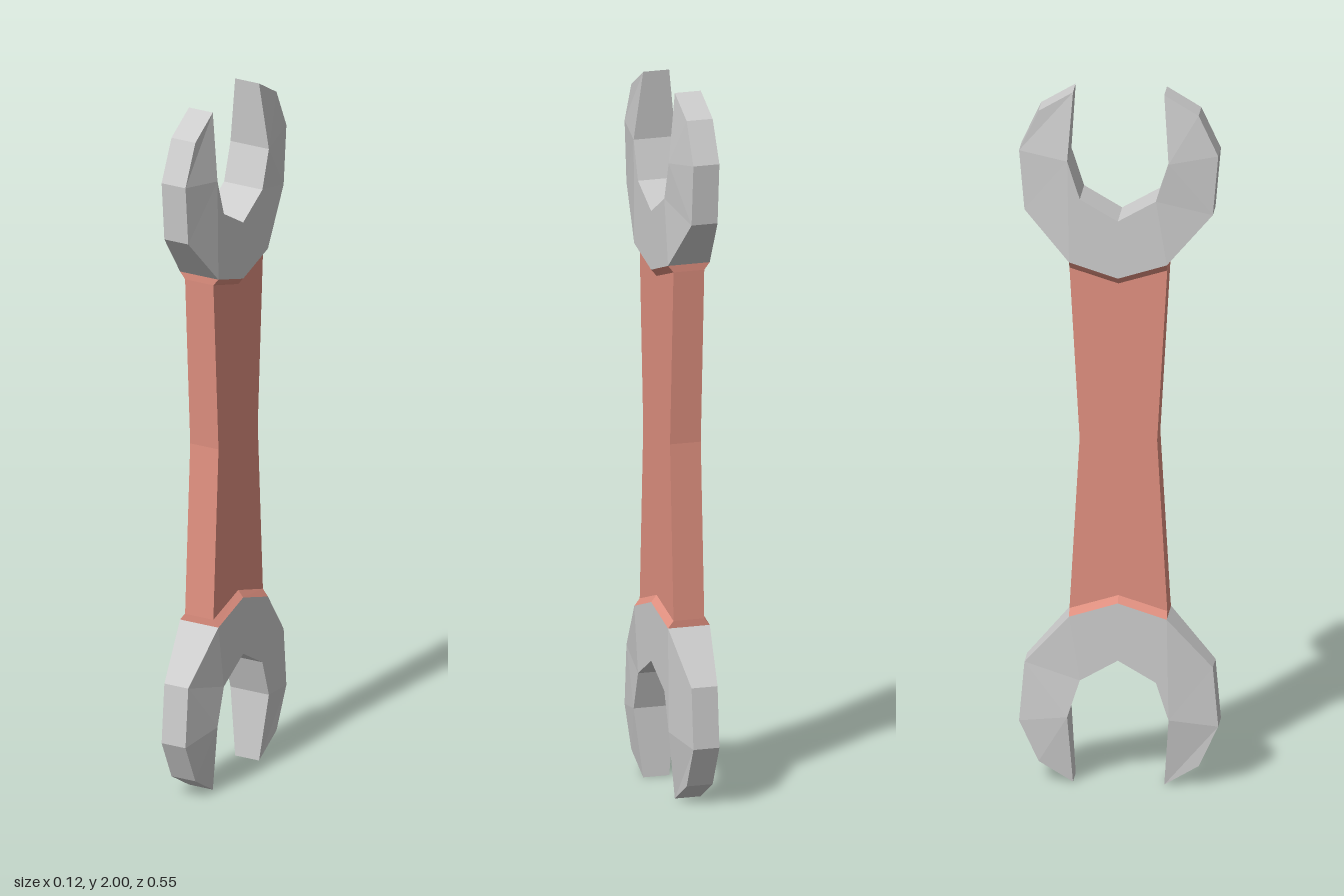
import * as THREE from 'three';

const steel = new THREE.MeshStandardMaterial({ color: 0xcccccc, flatShading: true });
const red = new THREE.MeshStandardMaterial({ color: 0xe09080, flatShading: true });

// Skin a row of equal-sized point rings; optionally close both ends.
function loft(rings, capped) {
  const n = rings[0].length;
  const index = [];
  for (let i = 0; i < rings.length - 1; i++) {
    for (let j = 0; j < n; j++) {
      const a = i * n + j, b = i * n + (j + 1) % n;
      index.push(a, b, b + n, a, b + n, a + n);
    }
  }
  if (capped) {
    const e = (rings.length - 1) * n;
    for (let j = 1; j < n - 1; j++) index.push(0, j + 1, j, e, e + j, e + j + 1);
  }
  const geo = new THREE.BufferGeometry();
  geo.setAttribute('position', new THREE.Float32BufferAttribute(rings.flat(2), 3));
  geo.setIndex(index);
  geo.computeVertexNormals();
  return geo;
}

// Open jaw: half of it as [outer z, outer y, outer half thickness, inner z, inner y, inner half thickness],
// with y measured from the middle of the tool.
const THIN = 0.038, THICK = 0.061;
const half = [
  [0, 0.471, THICK, 0, 0.637, THICK],
  [0.135, 0.514, THICK, 0.105, 0.698, THICK],
  [0.26, 0.656, THIN, 0.14, 0.806, THICK],
  [0.275, 0.827, THIN, 0.14, 0.806, THICK],
  [0.221, 0.943, THIN, 0.126, 1, THIN],
];

function jawGeometry() {
  const ring = ([oz, oy, oh, iz, iy, ih], s) =>
    [[oh, oy, s * oz], [ih, iy, s * iz], [-ih, iy, s * iz], [-oh, oy, s * oz]];
  const rings = [
    ...half.slice(1).reverse().map((p) => ring(p, -1)),
    ...half.map((p) => ring(p, 1)),
  ];
  return loft(rings, true);
}

// Grip: waisted bar with V-shaped ends that flare out to meet the jaws.
function gripGeometry() {
  const ring = (side, centre, h, w) => [
    [h, side, w], [h, centre, 0], [h, side, -w],
    [-h, side, -w], [-h, centre, 0], [-h, side, w],
  ];
  return loft([
    ring(-0.514, -0.471, THICK, 0.135),
    ring(-0.494, -0.452, 0.045, 0.135),
    ring(0, 0, 0.045, 0.107),
    ring(0.494, 0.452, 0.045, 0.135),
    ring(0.514, 0.471, THICK, 0.135),
  ], false);
}

export function createModel() {
  const wrench = new THREE.Group();
  wrench.name = 'wrench';
  const add = (name, geo, mat, turn = 0) => {
    const mesh = new THREE.Mesh(geo, mat);
    mesh.name = name;
    mesh.position.y = 1;
    mesh.rotation.x = turn;
    wrench.add(mesh);
  };

  const jaw = jawGeometry();
  add('upperJaw', jaw, steel);
  add('lowerJaw', jaw, steel, Math.PI);
  add('grip', gripGeometry(), red);
  return wrench;
}
